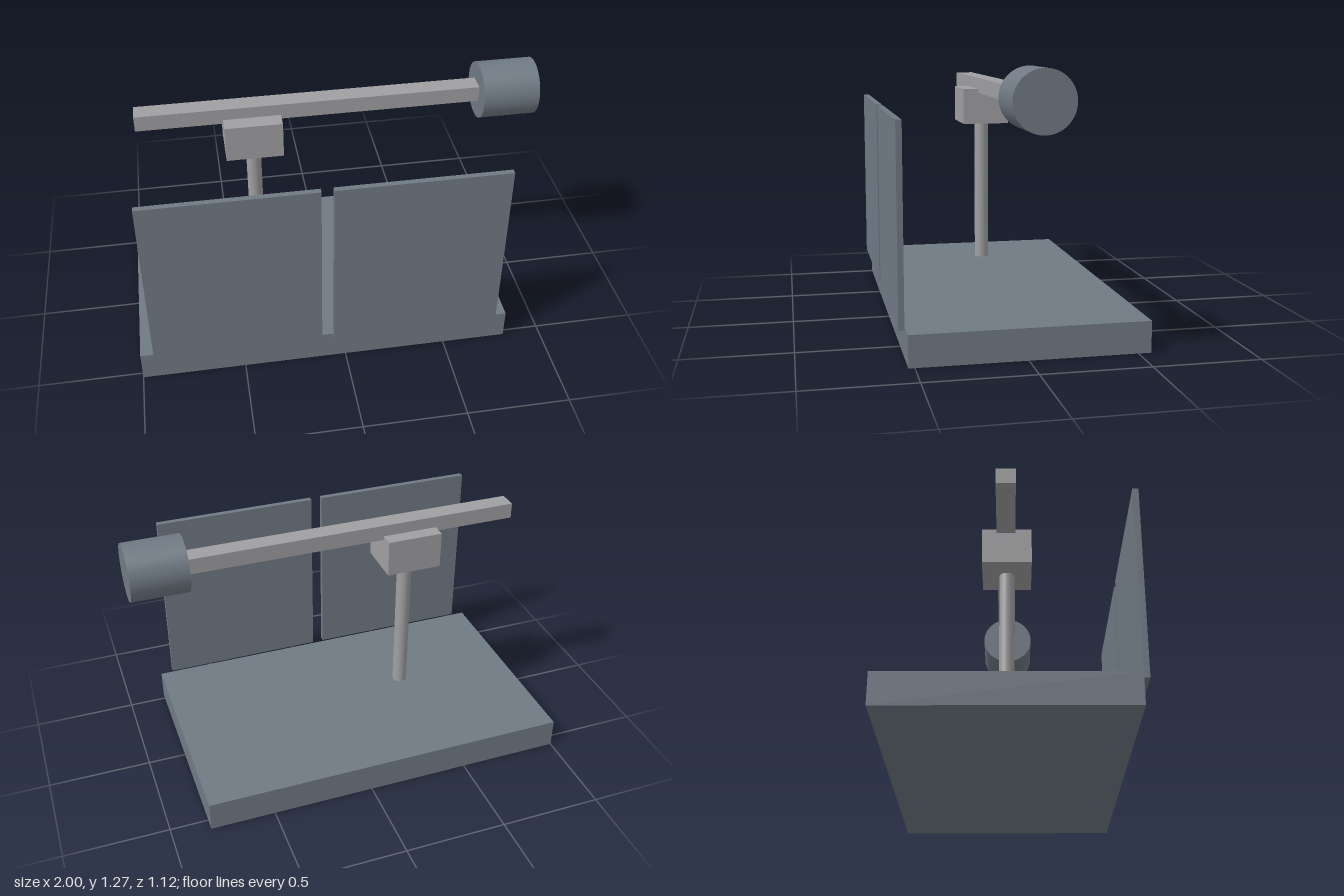
import * as THREE from 'three';

export function createModel() {
  const model = new THREE.Group();
  model.name = 'balanceArmStand';

  const slate = new THREE.MeshStandardMaterial({ color: 0x707a84 });
  slate.name = 'slateGrey';
  const steel = new THREE.MeshStandardMaterial({ color: 0xa0a0a2 });
  steel.name = 'lightSteel';

  const add = (name, geometry, material, x, y, z) => {
    const mesh = new THREE.Mesh(geometry, material);
    mesh.name = name;
    mesh.position.set(x, y, z);
    model.add(mesh);
    return mesh;
  };

  // Box given by its extents along each axis
  const addBox = (name, material, [x0, x1], [y0, y1], [z0, z1]) =>
    add(name, new THREE.BoxGeometry(x1 - x0, y1 - y0, z1 - z0), material,
      (x0 + x1) / 2, (y0 + y1) / 2, (z0 + z1) / 2);

  // Base slab and the two thin panels standing in front of it
  addBox('base', slate, [-1, 0.815], [0, 0.147], [-0.56, 0.528]);
  addBox('rightPanel', slate, [-0.935, -0.122], [0.148, 1.055], [0.535, 0.562]);
  addBox('leftPanel', slate, [-0.065, 0.75], [0.148, 1.055], [0.535, 0.562]);

  // Post, mounting block and long arm
  add('post', new THREE.CylinderGeometry(0.036, 0.036, 0.73, 48), steel, -0.365, 0.575, -0.015);
  addBox('mountBlock', steel, [-0.502, -0.23], [0.94, 1.12], [-0.133, 0.103]);
  addBox('arm', steel, [-0.91, 0.74], [1.1, 1.177], [-0.064, 0.026]);

  // Round weight at the end of the arm
  const weight = add('endWeight', new THREE.CylinderGeometry(0.136, 0.136, 0.272, 64), slate, 0.864, 1.138, -0.016);
  weight.rotation.z = Math.PI / 2;

  return model;
}
